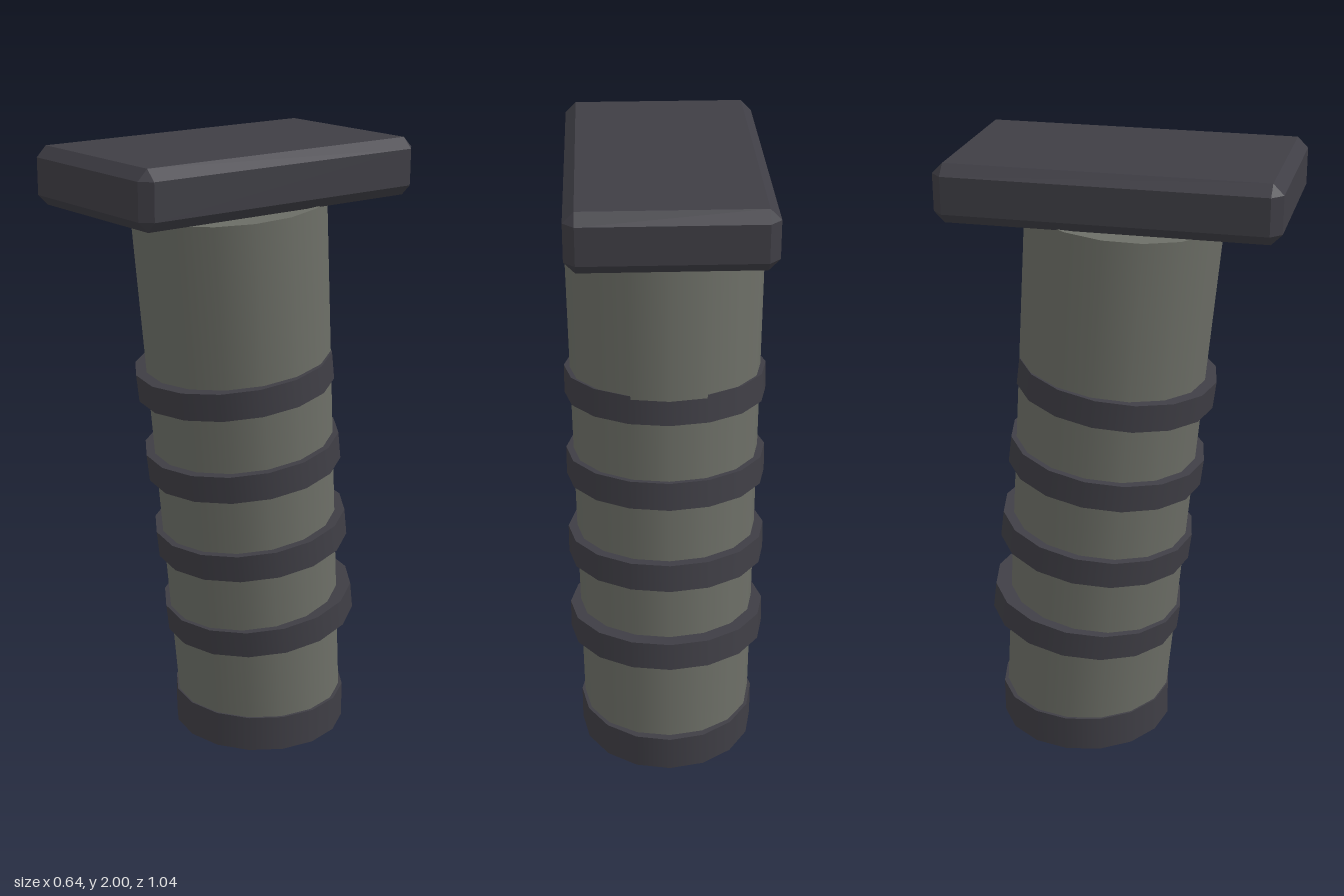
import * as THREE from 'three';
import { ConvexGeometry } from 'three/addons/geometries/ConvexGeometry.js';

// Box with every edge and corner cut off by c
function chamferedBox(w, h, d, c) {
  const points = [];
  const [x, y, z] = [w / 2, h / 2, d / 2];
  for (const sx of [-1, 1]) for (const sy of [-1, 1]) for (const sz of [-1, 1]) {
    points.push(
      new THREE.Vector3(sx * x, sy * (y - c), sz * (z - c)),
      new THREE.Vector3(sx * (x - c), sy * y, sz * (z - c)),
      new THREE.Vector3(sx * (x - c), sy * (y - c), sz * z)
    );
  }
  return new ConvexGeometry(points);
}

export function createModel() {
  const group = new THREE.Group();
  const dark = new THREE.MeshStandardMaterial({ color: 0x3f3e45 });
  dark.name = 'dark rubber';
  const grey = new THREE.MeshStandardMaterial({ color: 0x6c6e66 });
  grey.name = 'grey grip';

  const add = (name, geometry, material, y, z, tilt = 0) => {
    const mesh = new THREE.Mesh(geometry, material);
    mesh.name = name;
    mesh.position.set(0, y, z);
    mesh.rotation.x = tilt;
    group.add(mesh);
  };

  // Mounting plate on top
  add('topPlate', chamferedBox(0.6, 0.18, 1.04, 0.033), dark, 1.91, 0);

  // Leaning, slightly tapered shaft
  add('shaft', new THREE.CylinderGeometry(0.31, 0.28, 1.71, 16), grey, 0.96, -0.067, 0.079);

  // Grip rings, tilted a little more than the shaft
  const ring = new THREE.CylinderGeometry(0.32, 0.32, 0.09, 16);
  for (let i = 0; i < 4; i++) {
    add(`gripRing${i + 1}`, ring, dark, 0.433 + i * 0.277, -0.131 + i * 0.035, 0.126);
  }

  // Upright end cap
  add('baseCap', new THREE.CylinderGeometry(0.29, 0.29, 0.12, 16), dark, 0.06, -0.137);

  return group;
}
